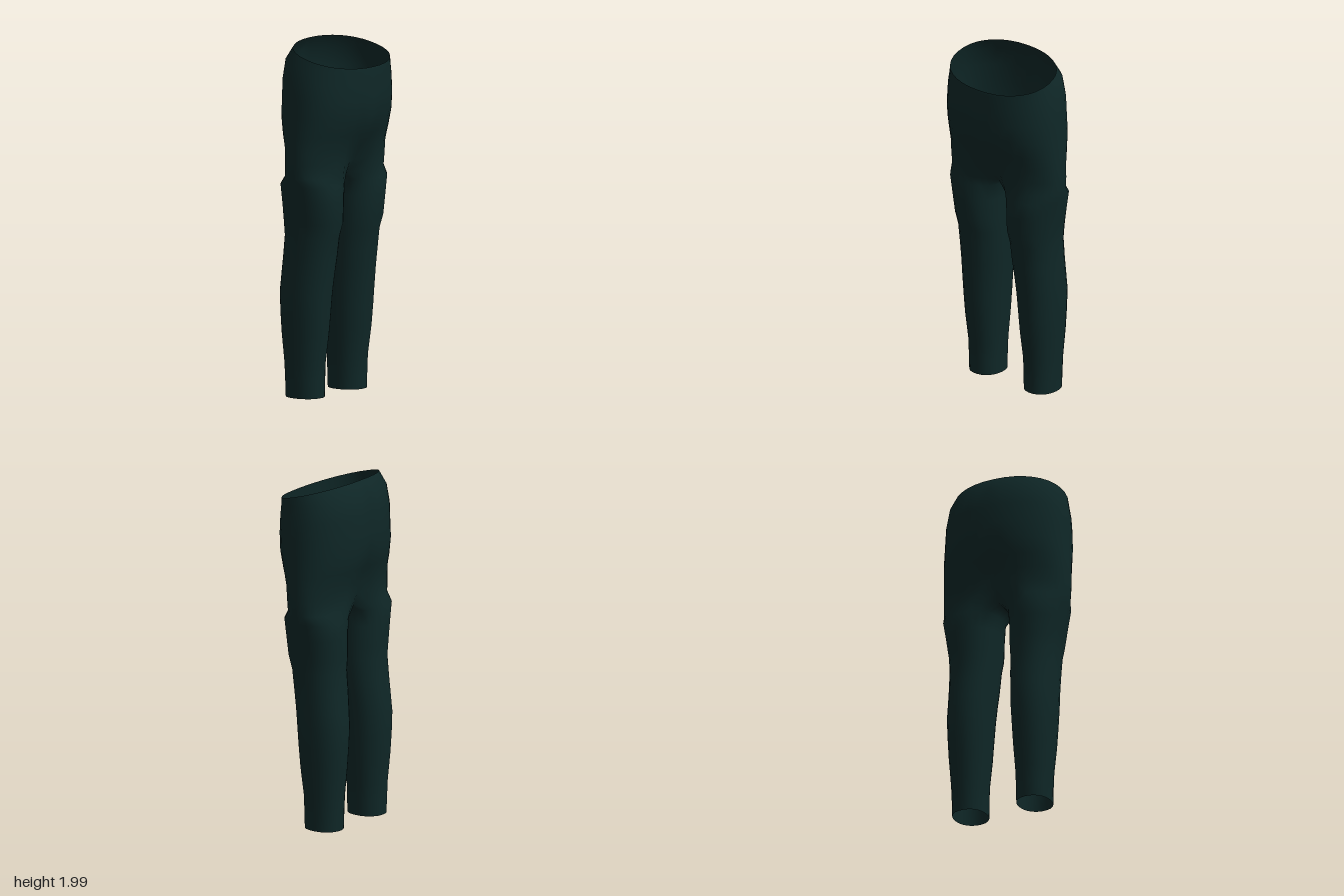
import * as THREE from 'three';
import { mergeVertices } from 'three/addons/utils/BufferGeometryUtils.js';

const OUTER = 18;          // segments from centre front round the hip to centre back
const INNER = 6;           // segments along the inside of the leg
const N = OUTER + INNER;
const INNER_ARC = 0.2 * Math.PI; // half the angle covered by the inside of the leg

// y, tilt (front lower), half width, front z, back z, front groove, back groove
const trunkRows = [
  [1.947, 0.285, 0.335, 0.25, -0.185, 0, 0],
  [1.89, 0.12, 0.348, 0.253, -0.238, 0, 0],
  [1.80, 0.03, 0.365, 0.254, -0.252, 0, 0],
  [1.70, 0, 0.372, 0.255, -0.252, 0, 0],
  [1.60, 0, 0.377, 0.246, -0.252, 0, 0.005],
  [1.50, 0, 0.381, 0.213, -0.23, 0.005, 0.015],
  [1.42, 0, 0.385, 0.18, -0.203, 0.02, 0.025],
  [1.34, 0, 0.386, 0.172, -0.2, 0.05, 0.045],
  [1.265, 0, 0.383, 0.166, -0.2, 0.095, 0.07], // crotch
];

// y, inner x, outer x, front z, back z
const legRows = [
  [1.215, 0.034, 0.374, 0.157, -0.198],
  [1.12, 0.042, 0.356, 0.154, -0.196],
  [1.00, 0.046, 0.336, 0.149, -0.194],
  [0.92, 0.052, 0.329, 0.124, -0.188],
  [0.80, 0.058, 0.326, 0.11, -0.2],
  [0.70, 0.066, 0.326, 0.097, -0.21],
  [0.60, 0.072, 0.328, 0.086, -0.219],
  [0.48, 0.08, 0.323, 0.077, -0.215],
  [0.36, 0.087, 0.317, 0.066, -0.207],
  [0.20, 0.099, 0.305, 0.044, -0.191],
  [0.10, 0.102, 0.301, 0.041, -0.187],
  [0.008, 0.103, 0.299, 0.039, -0.184],
];

// Slightly squared cosine or sine for fuller cross-sections
const full = (v, p) => Math.sign(v) * Math.pow(Math.abs(v), p);

function trunkPoint([y, tilt, hw, zf, zb, gf, gb], i) {
  const zc = (zf + zb) / 2, hd = (zf - zb) / 2;
  if (i > OUTER) { // crotch seam from back to front
    const k = (i - OUTER) / INNER;
    return [0, y - 0.008 * Math.sin(Math.PI * k), THREE.MathUtils.lerp(zb + gb, zf - gf, k)];
  }
  const a = Math.PI * (0.5 - i / OUTER);
  const x = i % OUTER === 0 ? 0 : hw * full(Math.cos(a), 0.92);
  const groove = Math.exp(-((x / 0.09) ** 2));
  const z = zc + hd * full(Math.sin(a), 0.92) - groove * (a > 0 ? gf : -gb);
  return [x, y - tilt * z, z];
}

function legPoint([y, xi, xo, zf, zb], i) {
  const start = Math.PI - INNER_ARC;
  const a = i <= OUTER
    ? start * (1 - 2 * i / OUTER)
    : -start - 2 * INNER_ARC * (i - OUTER) / INNER;
  return [
    (xi + xo) / 2 + (xo - xi) / 2 * full(Math.cos(a), 0.92),
    y,
    (zf + zb) / 2 + (zf - zb) / 2 * full(Math.sin(a), 0.92),
  ];
}

// Both mirrored halves, welded along the centre so the shading is smooth
function clothGeometry() {
  const positions = [], index = [];
  const rowCount = trunkRows.length + legRows.length;
  for (const side of [1, -1]) {
    const base = positions.length / 3;
    const addRow = (row, point) => {
      for (let i = 0; i < N; i++) {
        const [x, y, z] = point(row, i);
        positions.push(side * x, y, z);
      }
    };
    trunkRows.forEach(row => addRow(row, trunkPoint));
    legRows.forEach(row => addRow(row, legPoint));
    for (let r = 0; r < rowCount - 1; r++) {
      const segments = r < trunkRows.length - 1 ? OUTER : N;
      for (let i = 0; i < segments; i++) {
        const j = (i + 1) % N;
        const a = base + r * N + i, b = base + r * N + j;
        const c = a + N, d = b + N;
        if (side > 0) index.push(a, c, b, b, c, d);
        else index.push(a, b, c, b, d, c);
      }
    }
  }
  const geometry = new THREE.BufferGeometry();
  geometry.setAttribute('position', new THREE.Float32BufferAttribute(positions, 3));
  geometry.setIndex(index);
  const welded = mergeVertices(geometry, 1e-4);
  welded.computeVertexNormals();
  return welded;
}

export function createModel() {
  const group = new THREE.Group();
  group.name = 'leggings';
  const cloth = new THREE.MeshStandardMaterial({ color: 0x0f2727, side: THREE.DoubleSide });
  cloth.name = 'dark teal cloth';
  const mesh = new THREE.Mesh(clothGeometry(), cloth);
  mesh.name = 'waistAndLegs';
  group.add(mesh);
  return group;
}
